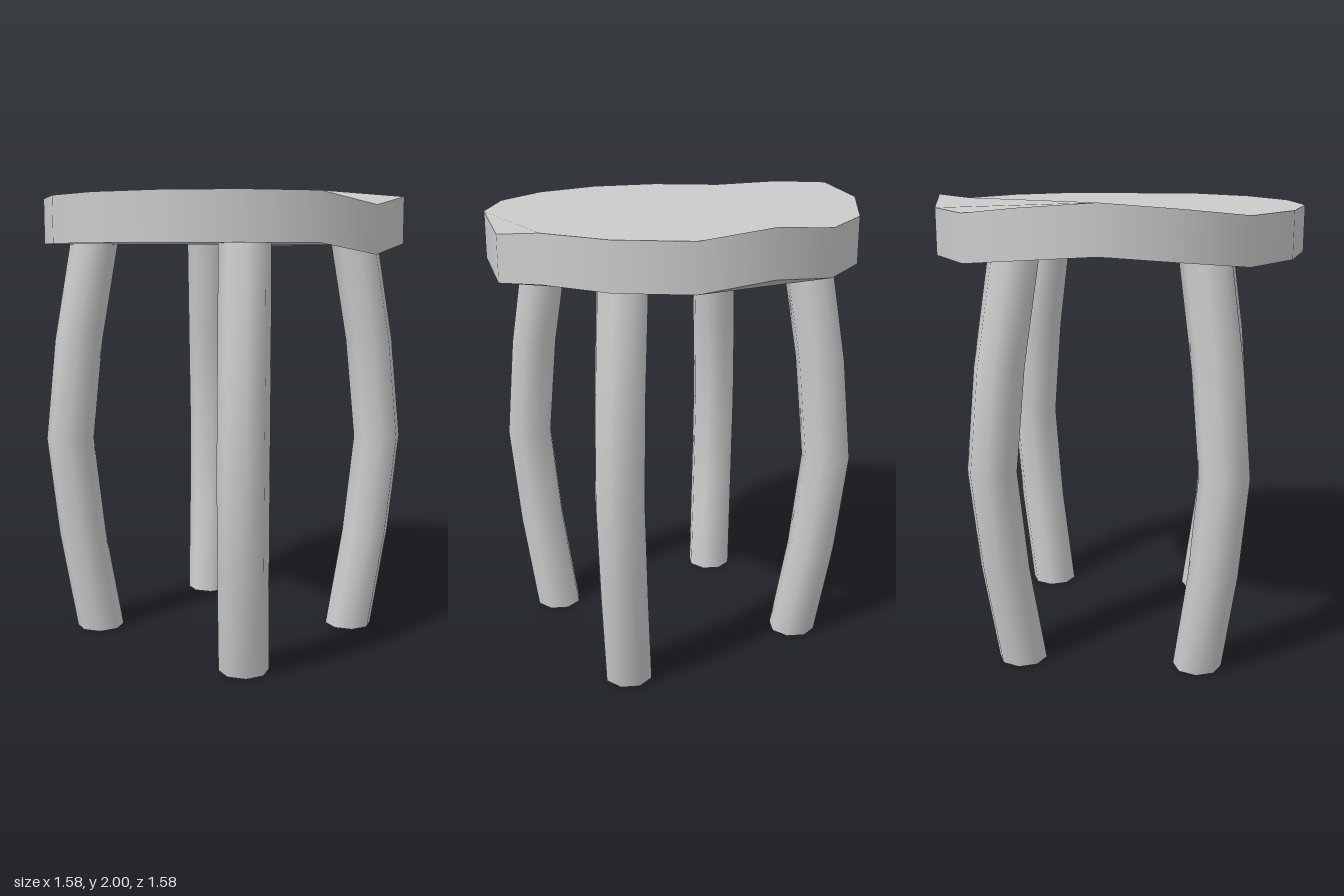
import * as THREE from 'three';
import { mergeVertices } from 'three/addons/utils/BufferGeometryUtils.js';

const SIDES = 16, RADIUS = 0.79, TOP = 1.94, THICKNESS = 0.195;
// Rim points that are warped up or down, by index around the seat
const WARP = { 0: -0.045, 7: 0.035, 8: 0.06, 9: 0.035, 12: 0.035 };

// Fan from one rim point over the listed rim points
const fan = (hub, rim) => rim.slice(1).map((b, i) => [hub, rim[i], b]);

function seatGeometry() {
  const positions = [], normals = [];
  const point = (i, top) => {
    const a = (i / SIDES) * Math.PI * 2;
    const y = TOP + (WARP[i % SIDES] ?? 0) - (top ? 0 : THICKNESS);
    return [RADIUS * Math.cos(a), y, RADIUS * Math.sin(a)];
  };
  const add = (i, top, normal) => {
    positions.push(...point(i, top));
    normals.push(...normal);
  };
  const radial = (i) => {
    const a = (i / SIDES) * Math.PI * 2;
    return [Math.cos(a), 0, Math.sin(a)];
  };

  // Smooth outer band
  for (let i = 0; i < SIDES; i++) {
    const j = i + 1;
    for (const [k, top] of [[i, false], [i, true], [j, true], [i, false], [j, true], [j, false]]) {
      add(k, top, radial(k));
    }
  }

  // Warped top and underside
  const topFaces = [
    ...fan(13, [14, 15, 1, 2, 3, 4, 5, 6, 7, 8, 11]),
    ...fan(8, [9, 10, 11]), [15, 0, 1], [11, 12, 13],
  ];
  const bottomFaces = [
    ...fan(13, [14, 15, 0, 1, 2, 3, 4, 5, 6, 7, 8, 11]),
    ...fan(8, [9, 10, 11]), [11, 12, 13],
  ];
  for (const [a, b, c] of topFaces) for (const i of [a, c, b]) add(i, true, [0, 1, 0]);
  for (const face of bottomFaces) for (const i of face) add(i, false, [0, -1, 0]);

  const geometry = new THREE.BufferGeometry();
  geometry.setAttribute('position', new THREE.Float32BufferAttribute(positions, 3));
  geometry.setAttribute('normal', new THREE.Float32BufferAttribute(normals, 3));
  return geometry;
}

// Open eight-sided tube whose rings follow an outward bow: [x, y, z] per ring
const LEG_PATH = [
  [0.43, 1.76, 0.383], [0.478, 1.32, 0.443], [0.505, 0.88, 0.48], [0.475, 0.44, 0.443], [0.43, 0, 0.383],
];

function legGeometry(sx, sz) {
  const sides = 8;
  let geometry = new THREE.CylinderGeometry(0.105, 0.105, 1, sides, LEG_PATH.length - 1, true);
  const p = geometry.attributes.position;
  for (let i = 0; i < p.count; i++) {
    const [x, y, z] = LEG_PATH[Math.floor(i / (sides + 1))];
    p.setXYZ(i, p.getX(i) + sx * x, y, p.getZ(i) + sz * z);
  }
  geometry.deleteAttribute('uv');
  geometry.deleteAttribute('normal');
  geometry = mergeVertices(geometry);
  geometry.computeVertexNormals();
  return geometry;
}

export function createModel() {
  const stool = new THREE.Group();
  stool.name = 'stool';

  const seat = new THREE.Mesh(seatGeometry(), new THREE.MeshStandardMaterial({ color: 0xcccccc }));
  seat.name = 'seat';
  stool.add(seat);

  // Four bowed legs
  const legMaterial = new THREE.MeshStandardMaterial({ color: 0xcccccc, side: THREE.DoubleSide });
  for (const sx of [1, -1]) {
    for (const sz of [1, -1]) {
      const leg = new THREE.Mesh(legGeometry(sx, sz), legMaterial);
      leg.name = (sz > 0 ? 'front' : 'back') + (sx > 0 ? 'Left' : 'Right') + 'Leg';
      stool.add(leg);
    }
  }
  return stool;
}
